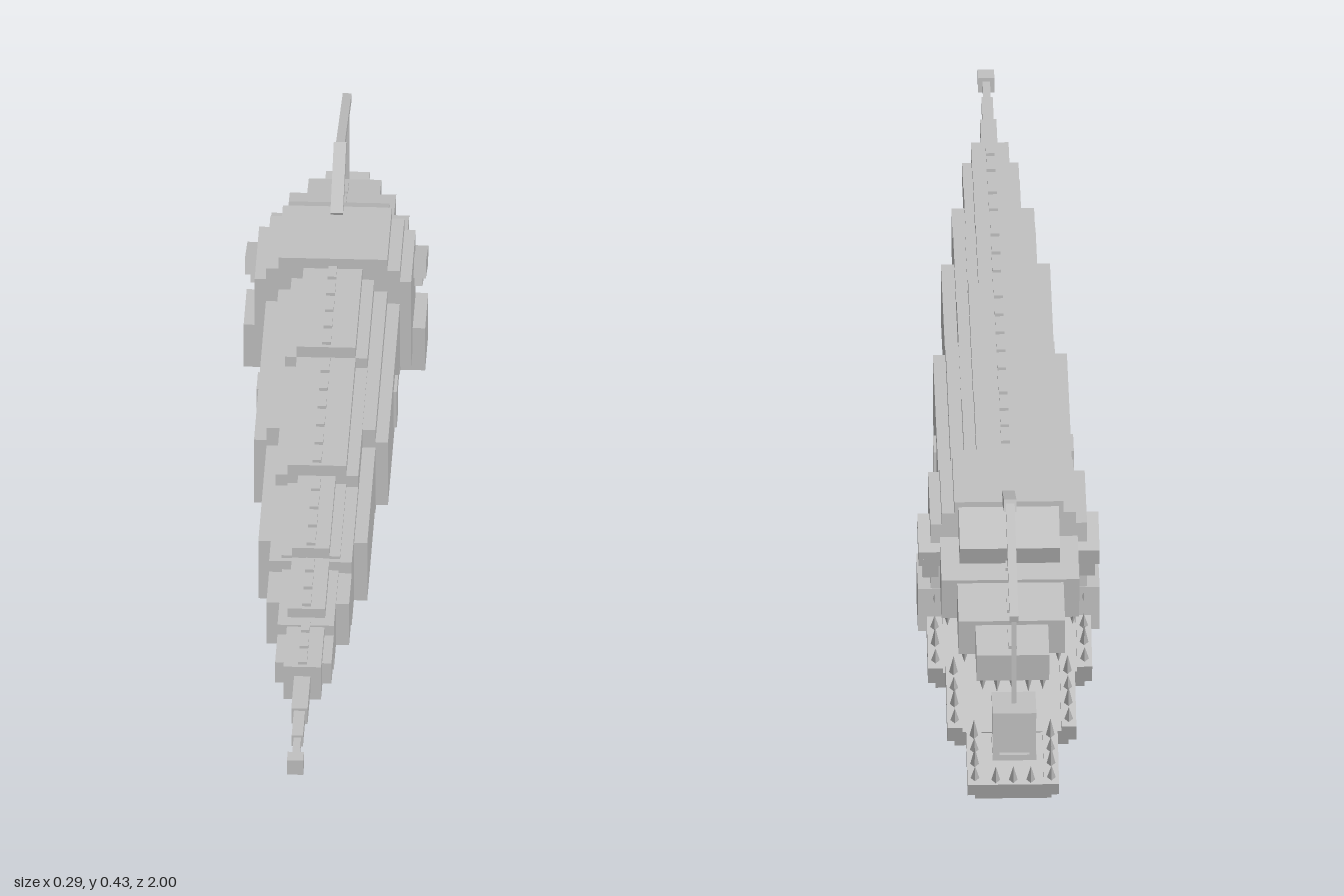
import * as THREE from 'three';

const hide = new THREE.MeshStandardMaterial({ color: 0xc0c0c0, flatShading: true });
hide.name = 'paleGrey';

export function createModel() {
  const model = new THREE.Group();
  model.name = 'deepSeaFish';

  const add = (parent, name, geo, x, y, z, rx = 0) => {
    const m = new THREE.Mesh(geo, hide);
    m.name = name;
    m.position.set(x, y, z);
    m.rotation.x = rx;
    parent.add(m);
    return m;
  };
  // box centred on x = 0: half width, y range, z range
  const slab = (name, w, y0, y1, z0, z1) =>
    add(model, name, new THREE.BoxGeometry(2 * w, y1 - y0, z1 - z0), 0, (y0 + y1) / 2, (z0 + z1) / 2);
  // box given by full size and centre
  const box = (parent, name, sx, sy, sz, x, y, z, rx = 0) =>
    add(parent, name, new THREE.BoxGeometry(sx, sy, sz), x, y, z, rx);
  const group = (name, y, z, rx) => {
    const g = new THREE.Group();
    g.name = name;
    g.position.set(0, y, z);
    g.rotation.x = rx;
    model.add(g);
    return g;
  };
  // four-sided tooth; dir 1 points up, -1 points down
  const tooth = (parent, x, y, z, h, dir) => {
    const t = add(parent, 'tooth', new THREE.ConeGeometry(0.007, h, 4), x, y + dir * h / 2, z);
    if (dir < 0) t.rotation.x = Math.PI;
  };

  // flanks, widest behind the head
  [
    [0.107, 0.175, 0.29, -0.44, 0.02],
    [0.087, 0.16, 0.312, -0.44, 0.02],
    [0.087, 0.175, 0.28, 0.02, 0.33],
    [0.066, 0.18, 0.295, 0.02, 0.42],
    [0.066, 0.2, 0.275, 0.33, 0.52],
    [0.045, 0.2, 0.28, 0.42, 0.6],
    [0.045, 0.225, 0.262, 0.52, 0.69],
  ].forEach(a => slab('flank', ...a));

  // stepped back plates with a dashed spine
  [
    [0.066, 0.25, 0.333, -0.44, -0.175],
    [0.047, 0.25, 0.352, -0.44, -0.175],
    [0.066, 0.25, 0.315, -0.175, 0.175],
    [0.047, 0.25, 0.333, -0.175, 0.175],
    [0.047, 0.25, 0.3, 0.175, 0.41],
    [0.03, 0.25, 0.314, 0.175, 0.41],
    [0.03, 0.25, 0.296, 0.41, 0.575],
    [0.03, 0.22, 0.277, 0.575, 0.73],
  ].forEach(([w, y0, y1, z0, z1], i) => {
    slab('backPlate', w, y0, y1, z0, z1);
    if (i === 0 || i === 2 || i === 4) return;
    const n = Math.round((z1 - z0) / 0.055), step = (z1 - z0) / n;
    for (let k = 0; k < n; k++)
      slab('spineScale', 0.007, y1, y1 + 0.005, z0 + (k + 0.15) * step, z0 + (k + 0.85) * step);
  });

  // stepped belly
  [
    [0.068, 0.122, -0.27, -0.08],
    [0.075, 0.143, -0.35, 0.085],
    [0.085, 0.16, -0.44, 0.25],
    [0.064, 0.179, 0.2, 0.47],
    [0.043, 0.199, 0.4, 0.64],
    [0.03, 0.218, 0.6, 0.73],
  ].forEach(([w, y0, z0, z1]) => slab('belly', w, y0, 0.26, z0, z1));

  // thin tail ending in a cube
  slab('tailRod', 0.013, 0.232, 0.26, 0.73, 0.835);
  slab('tailRod', 0.009, 0.236, 0.256, 0.835, 0.915);
  slab('tailRod', 0.006, 0.24, 0.252, 0.915, 0.975);
  slab('tailTip', 0.013, 0.232, 0.258, 0.972, 1);

  // skull
  slab('skull', 0.125, 0.175, 0.33, -0.6, -0.43);
  slab('skull', 0.107, 0.16, 0.35, -0.6, -0.43);
  slab('skullTop', 0.087, 0.16, 0.37, -0.6, -0.43);
  box(model, 'forehead', 0.16, 0.06, 0.09, 0, 0.318, -0.63, -0.35);

  // side details: gill plate, jaw hinge, brow and eye
  for (const s of [-1, 1]) {
    box(model, 'gillPlate', 0.006, 0.065, 0.055, s * 0.109, 0.23, -0.22);
    box(model, 'jawHinge', 0.04, 0.077, 0.115, s * 0.125, 0.175, -0.545);
    box(model, 'brow', 0.035, 0.03, 0.09, s * 0.127, 0.287, -0.573, -0.25);
    box(model, 'eye', 0.025, 0.04, 0.045, s * 0.125, 0.262, -0.59, -0.25);
  }

  // upper jaw: half width, height, length, y, z
  [
    [0.11, 0.075, 0.12, 0.262, -0.65],
    [0.085, 0.065, 0.105, 0.247, -0.758],
    [0.058, 0.05, 0.085, 0.235, -0.848],
  ].forEach(([w, h, l, y, z], i) => {
    const g = group('upperJaw', y, z, -0.13);
    box(g, 'snout', 2 * w, h, l, 0, 0, 0);
    box(g, 'snoutRidge', 0.014, 0.008, l * 0.6, 0, h / 2 + 0.002, 0);
    for (const s of [-1, 1])
      for (let k = 0; k < 4; k++)
        tooth(g, s * (w - 0.01), -h / 2, (k - 1.5) * l / 4, k % 2 ? 0.038 : 0.026, -1);
    if (i === 2) for (const x of [-0.025, 0, 0.025]) tooth(g, x, -h / 2, -l / 2 + 0.01, 0.03, -1);
  });

  // lower jaw: narrow floors between raised rims
  [
    [0.131, 0.05, 0.135, 0.125, -0.628],
    [0.103, 0.045, 0.13, 0.084, -0.75],
    [0.073, 0.035, 0.115, 0.0385, -0.861],
  ].forEach(([w, h, l, y, z], i) => {
    const g = group('lowerJaw', y, z, -0.39);
    box(g, 'jawFloor', 2 * (w - 0.012), h * 0.75, l, 0, -h * 0.125, 0);
    for (const s of [-1, 1]) {
      box(g, 'jawRim', 0.024, h * 0.75, l, s * (w - 0.012), h * 0.125, 0);
      for (let k = 0; k < 4; k++)
        tooth(g, s * (w - 0.012), h / 2, (k - 1.5) * l / 4, k % 2 ? 0.042 : 0.03, 1);
    }
    if (i === 2) {
      box(g, 'jawLip', 2 * w, h * 0.75, 0.015, 0, h * 0.125, -l / 2 + 0.0075);
      for (const x of [-0.028, 0, 0.028]) tooth(g, x, h / 2, -l / 2 + 0.01, 0.035, 1);
    }
  });

  // lure stalk between (y, z) points
  [
    [0.365, -0.575, 0.422, -0.705, 0.02],
    [0.42, -0.695, 0.362, -0.968, 0.014],
    [0.365, -0.963, 0.2, -0.963, 0.008],
  ].forEach(([y0, z0, y1, z1, t]) => box(model, 'lureStalk', t, t, Math.hypot(y1 - y0, z1 - z0),
    0, (y0 + y1) / 2, (z0 + z1) / 2, Math.atan2(y0 - y1, z1 - z0)));

  // lantern: core, caps and corner posts
  const lantern = group('lantern', 0.165, -0.965, 0);
  box(lantern, 'lanternCore', 0.054, 0.075, 0.054, 0, 0, 0);
  for (const s of [-1, 1]) {
    box(lantern, 'lanternCap', 0.07, 0.01, 0.07, 0, s * 0.038, 0);
    for (const q of [-1, 1]) box(lantern, 'lanternPost', 0.01, 0.07, 0.01, s * 0.029, 0, q * 0.029);
  }
  return model;
}
